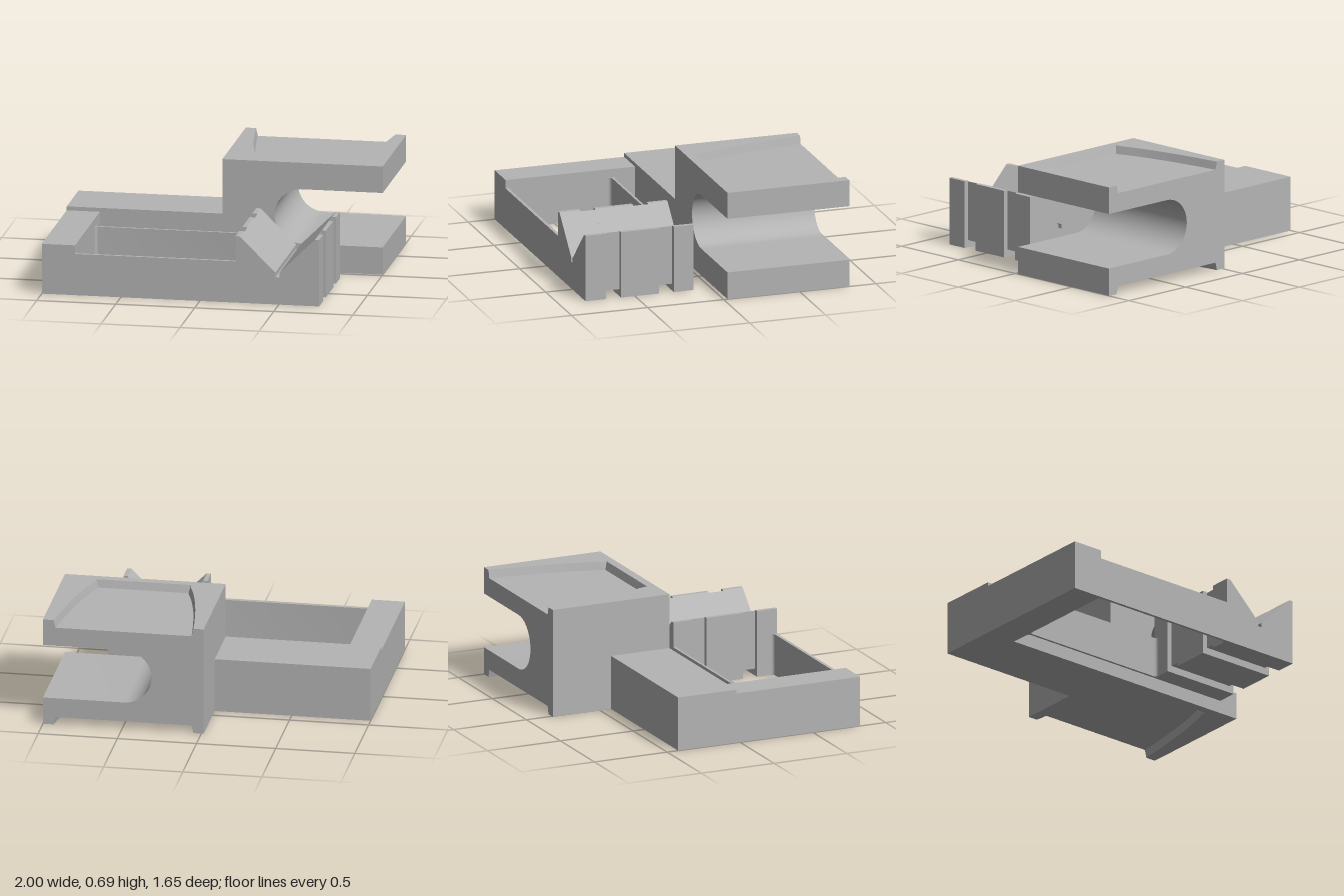
import * as THREE from 'three';
import { toCreasedNormals } from 'three/addons/utils/BufferGeometryUtils.js';

const grey = new THREE.MeshStandardMaterial({ color: 0xb4b4b4 });
grey.name = 'plain grey';

const polygon = (pts) => new THREE.Shape(pts.map(([x, y]) => new THREE.Vector2(x, y)));

export function createModel() {
  const model = new THREE.Group();
  model.name = 'slidingFixture';

  const add = (name, geometry) => {
    const mesh = new THREE.Mesh(toCreasedNormals(geometry, 0.5), grey);
    mesh.name = name;
    model.add(mesh);
  };
  const box = (name, x0, x1, y0, y1, z0, z1) =>
    add(name, new THREE.BoxGeometry(x1 - x0, y1 - y0, z1 - z0)
      .translate((x0 + x1) / 2, (y0 + y1) / 2, (z0 + z1) / 2));
  // front outline (x, y) extruded from z0 to z1
  const alongZ = (shape, z0, z1) =>
    new THREE.ExtrudeGeometry(shape, { depth: z1 - z0, bevelEnabled: false, curveSegments: 24 })
      .translate(0, 0, z0);
  // plan outline (x, -z) extruded from y0 to y1
  const alongY = (shape, y0, y1) =>
    new THREE.ExtrudeGeometry(shape, { depth: y1 - y0, bevelEnabled: false, curveSegments: 8 })
      .rotateX(-Math.PI / 2).translate(0, y0, 0);

  // L-shaped base: rear bar and side arm
  box('rearBar', -1, -0.015, 0, 0.345, -0.425, -0.025);
  box('sideArm', -1, -0.79, 0, 0.32, -0.025, 0.825);

  // Clamp body: C profile with a round-ended slot open to +x
  const LIP = 0.05, H = 0.695, Z0 = -0.825, Z1 = -0.025;
  const c = new THREE.Shape();
  c.moveTo(-0.015, LIP);
  c.lineTo(1, LIP);
  c.lineTo(1, 0.175);
  c.lineTo(0.49, 0.175);
  c.absarc(0.49, 0.35, 0.175, -Math.PI / 2, Math.PI / 2, true);
  c.lineTo(1, 0.525);
  c.lineTo(1, H - LIP);
  c.lineTo(-0.015, H - LIP);
  add('clampBody', alongZ(c, Z0, Z1));

  // Rims around the tapered pockets on top and underneath, with drafted walls
  const CX = 0.49;
  const rim = (name, y0, y1, floorY) => {
    const s = new THREE.Shape();
    s.moveTo(-0.015, -Z0);
    s.lineTo(-0.015, -Z1);
    s.lineTo(1, -Z1);
    s.lineTo(1, -Z0);
    s.lineTo(0.932, -Z0);
    s.quadraticCurveTo(0.88, 0.36, 0.795, 0.115);
    s.lineTo(0.79, 0.08);
    s.lineTo(0.195, 0.08);
    s.lineTo(0.19, 0.115);
    s.quadraticCurveTo(0.1, 0.36, 0.05, -Z0);
    const g = alongY(s, y0, y1);
    const p = g.attributes.position;
    for (let i = 0; i < p.count; i++) {
      const x = p.getX(i), z = p.getZ(i);
      if (Math.abs(p.getY(i) - floorY) > 1e-4 || x < 0.01 || x > 0.98) continue;
      p.setX(i, x - Math.sign(x - CX) * 0.012);
      if (z > -0.1) p.setZ(i, z - 0.014);
    }
    add(name, g);
  };
  rim('topPocketRim', H - LIP, H, H - LIP);
  rim('bottomPocketRim', 0, LIP, LIP);

  // Thin walls joining the arm to the V block, filleted at their ends
  const wall = (name, z0, dir, thick, outerFillet) => {
    const xa = -0.79, xb = 0.225, r = 0.022;
    const v = (s) => -(z0 + dir * s);
    const s = new THREE.Shape();
    if (outerFillet) {
      s.moveTo(xa, v(-r));
      s.quadraticCurveTo(xa, v(0), xa + r, v(0));
    } else s.moveTo(xa, v(0));
    s.lineTo(xb, v(0));
    s.lineTo(xb, v(thick + r));
    s.quadraticCurveTo(xb, v(thick), xb - r, v(thick));
    s.lineTo(xa + r, v(thick));
    s.quadraticCurveTo(xa, v(thick), xa, v(thick + r));
    add(name, alongY(s, 0, 0.265));
  };
  wall('innerWall', 0.115, 1, 0.016, true);
  wall('frontWall', 0.825, -1, 0.02, false);

  // V block: full sections alternating with strap grooves
  const vee = [[0.477, 0.205], [0.477, 0.175], [0.505, 0.175], [0.505, 0.205]];
  const full = polygon([[0.225, 0], [0.225, 0.427], [0.252, 0.427], ...vee,
    [0.728, 0.427], [0.755, 0.427], [0.755, 0]]);
  const grooved = polygon([[0.257, 0.045], [0.257, 0.422], ...vee, [0.723, 0.422], [0.723, 0.045]]);
  const cuts = [0.115, 0.245, 0.343, 0.592, 0.69, 0.825];
  for (let i = 0; i < 5; i++) {
    add(i % 2 ? 'strapGroove' : 'veeBlock', alongZ(i % 2 ? grooved : full, cuts[i], cuts[i + 1]));
  }
  return model;
}
